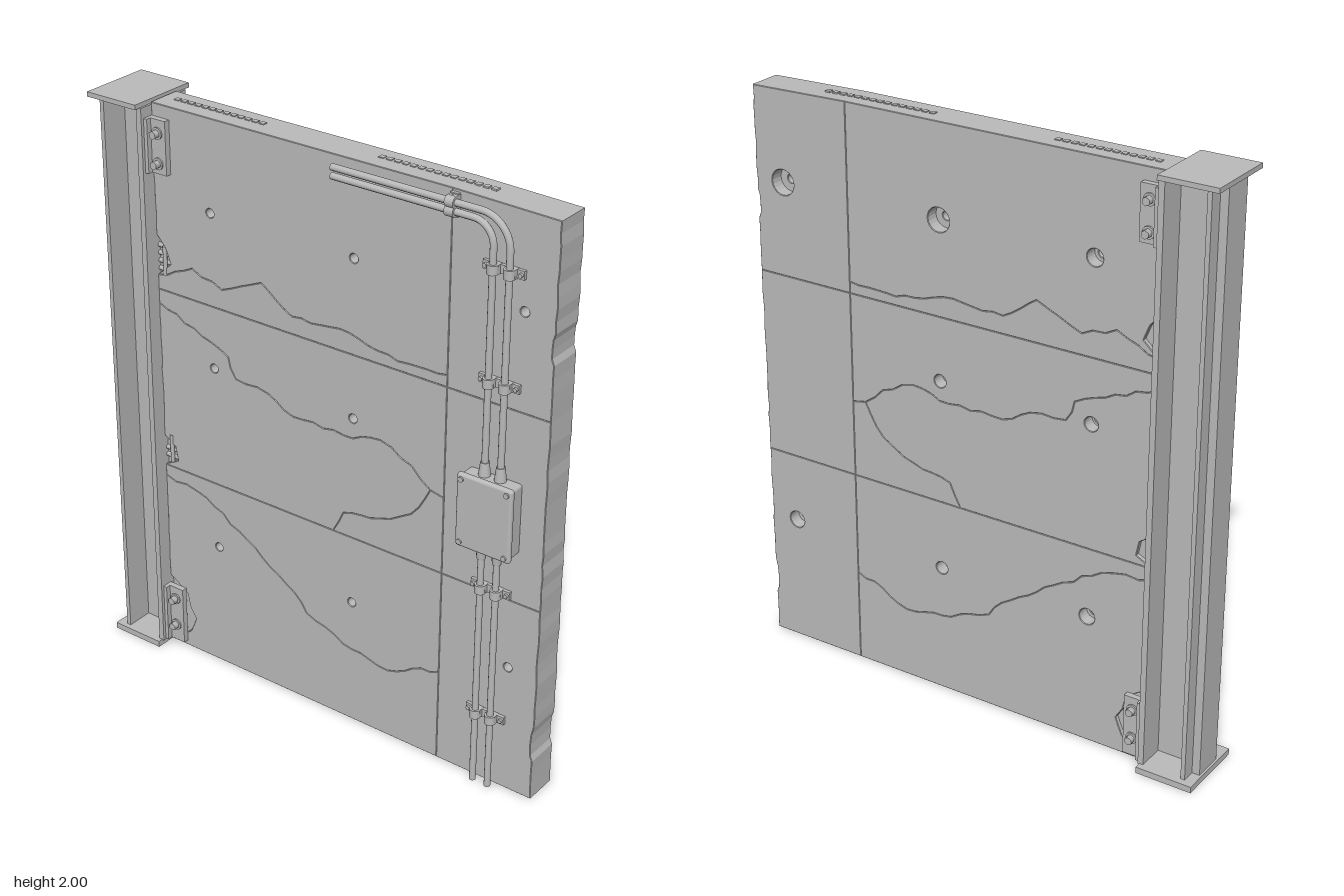
import * as THREE from 'three';
import { RoundedBoxGeometry } from 'three/addons/geometries/RoundedBoxGeometry.js';

const grey = new THREE.MeshStandardMaterial({ color: 0xbababa });
grey.name = 'plain grey';

let seed = 11;
const rand = () => (seed = (seed * 16807) % 2147483647) / 2147483647 - 0.5;

function add(parent, name, geometry, x = 0, y = 0, z = 0) {
  const mesh = new THREE.Mesh(geometry, grey);
  mesh.name = name;
  mesh.position.set(x, y, z);
  parent.add(mesh);
  return mesh;
}

// box given by its limits
function block(parent, name, x0, x1, y0, y1, z0, z1) {
  return add(parent, name, new THREE.BoxGeometry(x1 - x0, y1 - y0, z1 - z0),
    (x0 + x1) / 2, (y0 + y1) / 2, (z0 + z1) / 2);
}

// subdivide a polyline and jitter it, keeping its corner points
function rough(pts, amp) {
  const out = [];
  for (let i = 0; i < pts.length - 1; i++) {
    const [ax, ay] = pts[i], [bx, by] = pts[i + 1];
    const len = Math.hypot(bx - ax, by - ay), n = Math.max(1, Math.round(len / 0.04));
    for (let k = 0; k < n; k++) {
      const t = k / n, j = k ? rand() * amp : 0;
      out.push([ax + (bx - ax) * t - (by - ay) / len * j, ay + (by - ay) * t + (bx - ax) / len * j]);
    }
  }
  out.push(pts[pts.length - 1]);
  return out;
}

// one concrete piece: front layer with narrow holes, back layer with wide ones
function piece(parent, paths, holes = []) {
  const outline = paths.flatMap(p => p.slice(0, -1)).map(p => new THREE.Vector2(...p));
  const bevel = 0.002;
  for (const [name, z0, z1, back] of [['slabFront', -0.02, 0.055, 0], ['slabBack', -0.065, 0.0, 1]]) {
    const shape = new THREE.Shape(outline);
    for (const [x, y, wide] of holes) {
      shape.holes.push(new THREE.Path().absarc(x, y, back ? wide - bevel : 0.015, 0, Math.PI * 2, true));
    }
    const g = new THREE.ExtrudeGeometry(shape, {
      depth: z1 - z0 - 2 * bevel, curveSegments: 10, bevelEnabled: true, bevelSegments: 1,
      bevelSize: bevel, bevelThickness: bevel, bevelOffset: -bevel,
    });
    add(parent, name, g.translate(0, 0, z0 + bevel));
  }
}

function buildWall() {
  const wall = new THREE.Group();
  wall.name = 'concreteWall';
  const L = -0.645, S = 0.48, R = 0.84, T = 1.993, B = 0.005;
  const rev = p => [...p].reverse();
  const line = (...p) => rough(p, 0);
  const edge = (...p) => rough(p, 0.004);
  const crack = (...p) => rough(p, 0.014);

  // cracks, left to right
  const c1 = crack([L, 1.41], [-0.5, 1.47], [-0.38, 1.43], [-0.22, 1.5], [-0.1, 1.42], [0.12, 1.43], [0.3, 1.39], [S, 1.4]);
  const c2 = crack([L, 1.31], [-0.5, 1.26], [-0.36, 1.2], [-0.33, 1.13], [-0.2, 1.12], [-0.1, 1.07], [0.1, 1.07], [0.24, 1.1], [0.36, 1.05], [0.43, 0.99]);
  const c2end = crack([0.43, 0.99], [S, 0.98]);
  const c3 = crack([0.43, 0.99], [0.36, 0.88], [0.24, 0.82], [0.1, 0.79], [0.06, 0.71]);
  const c4 = crack([L, 0.67], [-0.47, 0.64], [-0.33, 0.56], [-0.2, 0.47], [-0.1, 0.41], [-0.05, 0.35], [0.1, 0.29], [0.28, 0.26], [0.38, 0.31], [S, 0.34]);

  // top left panel
  piece(wall, [c1, line([S, 1.4], [S, T]), line([S, T], [L, T]),
    edge([L, T], [L, 1.55], [-0.61, 1.51], [-0.59, 1.46], [L, 1.41])], [[-0.42, 1.68, 0.03], [0.135, 1.68, 0.042]]);
  piece(wall, [line([L, 1.36], [S, 1.36], [S, 1.4]), rev(c1), line([L, 1.41], [L, 1.36])]);
  // middle left panel
  piece(wall, [c2, c2end, line([S, 0.98], [S, 1.36], [L, 1.36], [L, 1.31])], [[0.135, 1.14, 0.024]]);
  piece(wall, [line([L, 0.71], [0.06, 0.71]), rev(c3), rev(c2),
    edge([L, 1.31], [L, 0.82], [-0.6, 0.79], [-0.59, 0.74], [L, 0.71])], [[-0.42, 1.14, 0.026]]);
  piece(wall, [line([0.06, 0.71], [S, 0.71], [S, 0.98]), rev(c2end), c3]);
  // bottom left panel
  piece(wall, [c4, line([S, 0.34], [S, 0.71], [L, 0.71], [L, 0.67])], [[0.135, 0.465, 0.024]]);
  piece(wall, [line([L, B], [S, B]), line([S, B], [S, 0.34]), rev(c4),
    edge([L, 0.67], [L, 0.27], [-0.57, 0.22], [-0.56, 0.17], [-0.535, 0.13], [-0.56, 0.07], [L, B])], [[-0.42, 0.465, 0.03]]);
  // right column
  piece(wall, [line([S, 1.36], [R, 1.36]), edge([R, 1.36], [R, 1.54], [0.832, 1.56], [0.834, 1.62], [R, 1.64], [R, T - 0.008]),
    line([R, T - 0.008], [S, T]), line([S, T], [S, 1.36])], [[0.735, 1.68, 0.045]]);
  piece(wall, [line([S, 0.71], [R, 0.71]), edge([R, 0.71], [R, 1.36]), line([R, 1.36], [S, 1.36], [S, 0.71])]);
  piece(wall, [line([S, B], [R, B]), edge([R, B], [R, 0.15], [0.832, 0.17], [0.833, 0.25], [R, 0.28], [R, 0.71]),
    line([R, 0.71], [S, 0.71], [S, B])], [[0.735, 0.465, 0.032]]);

  // inner core seen in the broken left edge
  block(wall, 'leftCore', -0.65, -0.52, 0.015, 1.975, -0.05, 0.04);

  // small teeth along the top edge
  for (const [x0, x1] of [[-0.6, -0.25], [0.18, 0.58]]) {
    for (let x = x0; x < x1; x += 0.028) block(wall, 'topTooth', x, x + 0.018, 1.98, 1.996, -0.018, 0.0);
  }
  return wall;
}

function buildColumn() {
  const column = new THREE.Group();
  column.name = 'steelColumn';
  block(column, 'outerFlange', -0.815, -0.8, 0.02, 1.985, -0.108, 0.104);
  block(column, 'innerFlange', -0.665, -0.645, 0.02, 1.985, -0.108, 0.104);
  block(column, 'web', -0.8, -0.665, 0.02, 1.985, -0.012, 0.008);
  block(column, 'outerStrip', -0.842, -0.815, 0.02, 1.985, -0.06, 0.05);
  block(column, 'basePlate', -0.85, -0.652, 0, 0.022, -0.132, 0.122);
  block(column, 'capPlate', -0.85, -0.652, 1.984, 2, -0.132, 0.122);

  // bolted angle brackets on both faces
  for (const [y0, y1] of [[1.77, 1.95], [0.025, 0.24]]) {
    for (const [s, face] of [[1, 0.055], [-1, -0.065]]) {
      const zs = [face, face + s * 0.02].sort((a, b) => a - b);
      const zw = [face, face + s * 0.038].sort((a, b) => a - b);
      block(column, 'bracketPlate', -0.645, -0.575, y0, y1, ...zs);
      block(column, 'bracketLeg', -0.645, -0.632, y0, y1, ...zw);
      for (const y of [y0 + 0.035 + (y0 < 1 ? 0.03 : 0), y1 - 0.045]) {
        add(column, 'bracketWasher', new THREE.CylinderGeometry(0.02, 0.02, 0.006, 16), -0.607, y, face + s * 0.022).rotation.x = Math.PI / 2;
        add(column, 'bracketBolt', new THREE.CylinderGeometry(0.014, 0.014, 0.026, 6), -0.607, y, face + s * 0.032).rotation.x = Math.PI / 2;
      }
    }
  }

  // exposed bars in the broken edge
  for (const y0 of [1.43, 0.745]) {
    for (let i = 0; i < (y0 > 1 ? 4 : 2); i++) {
      add(column, 'exposedBar', new THREE.CylinderGeometry(0.008, 0.008, 0.08, 8), -0.61, y0 + i * 0.027, 0.042).rotation.z = Math.PI / 2;
    }
    add(column, 'exposedTie', new THREE.CylinderGeometry(0.007, 0.007, 0.1, 8), -0.615, y0 + 0.035, 0.052);
  }
  return column;
}

function buildConduit() {
  const conduit = new THREE.Group();
  conduit.name = 'conduit';
  const z = 0.078, r = 0.011;
  const V = (x, y) => new THREE.Vector3(x, y, z);

  // pipes, outer then inner
  for (const [x, y, bend] of [[0.693, 1.962, 0.1], [0.637, 1.934, 0.07]]) {
    const path = new THREE.CurvePath();
    const k = bend * 0.45;
    path.add(new THREE.LineCurve3(V(0.07, y), V(x - bend, y)));
    path.add(new THREE.CubicBezierCurve3(V(x - bend, y), V(x - k, y), V(x, y - k), V(x, y - bend)));
    path.add(new THREE.LineCurve3(V(x, y - bend), V(x, 1.12)));
    add(conduit, 'upperPipe', new THREE.TubeGeometry(path, 110, r, 10));
    add(conduit, 'pipeEnd', new THREE.CircleGeometry(r, 10), 0.07, y, z).rotation.y = -Math.PI / 2;
    add(conduit, 'lowerPipe', new THREE.CylinderGeometry(r, r, 0.895, 10), x, 0.4525, z);
    add(conduit, 'upperConnector', new THREE.CylinderGeometry(0.014, 0.019, 0.045, 12), x, 1.15, z);
    add(conduit, 'lowerConnector', new THREE.CylinderGeometry(0.019, 0.014, 0.045, 12), x, 0.86, z);
  }

  // pipe clamps
  const clamp = (x, y, turned) => {
    const g = new THREE.Group();
    g.name = 'pipeClamp';
    const w = turned ? 0.036 : 0.07;
    block(g, 'clampFoot', -w, w, -0.014, 0.014, 0.05, 0.066);
    for (const o of turned ? [-0.014, 0.014] : [-0.028, 0.028]) {
      add(g, 'clampRing', new THREE.CylinderGeometry(0.018, 0.018, 0.03, 14), o, 0, z);
      block(g, 'clampBase', o - 0.018, o + 0.018, -0.015, 0.015, 0.05, z);
    }
    for (const s of [-1, 1]) {
      add(g, 'clampScrew', new THREE.CylinderGeometry(0.007, 0.007, 0.01, 8), s * (w - 0.01), 0, 0.069).rotation.x = Math.PI / 2;
    }
    g.position.set(x, y, 0);
    if (turned) g.rotation.z = Math.PI / 2;
    conduit.add(g);
  };
  for (const y of [1.795, 1.435, 0.73, 0.265]) clamp(0.665, y, false);
  clamp(0.492, 1.948, true);

  // junction box with lid and corner screws
  add(conduit, 'junctionBox', new RoundedBoxGeometry(0.184, 0.24, 0.06, 2, 0.01), 0.664, 1.006, 0.08);
  add(conduit, 'junctionLid', new RoundedBoxGeometry(0.196, 0.252, 0.022, 2, 0.01), 0.664, 1.006, 0.111);
  for (const sx of [-1, 1]) for (const sy of [-1, 1]) {
    add(conduit, 'lidScrew', new THREE.CylinderGeometry(0.009, 0.009, 0.008, 10),
      0.664 + sx * 0.08, 1.006 + sy * 0.108, 0.123).rotation.x = Math.PI / 2;
  }
  return conduit;
}

export function createModel() {
  seed = 11;
  const model = new THREE.Group();
  model.name = 'wallSection';
  model.add(buildWall(), buildColumn(), buildConduit());
  return model;
}
